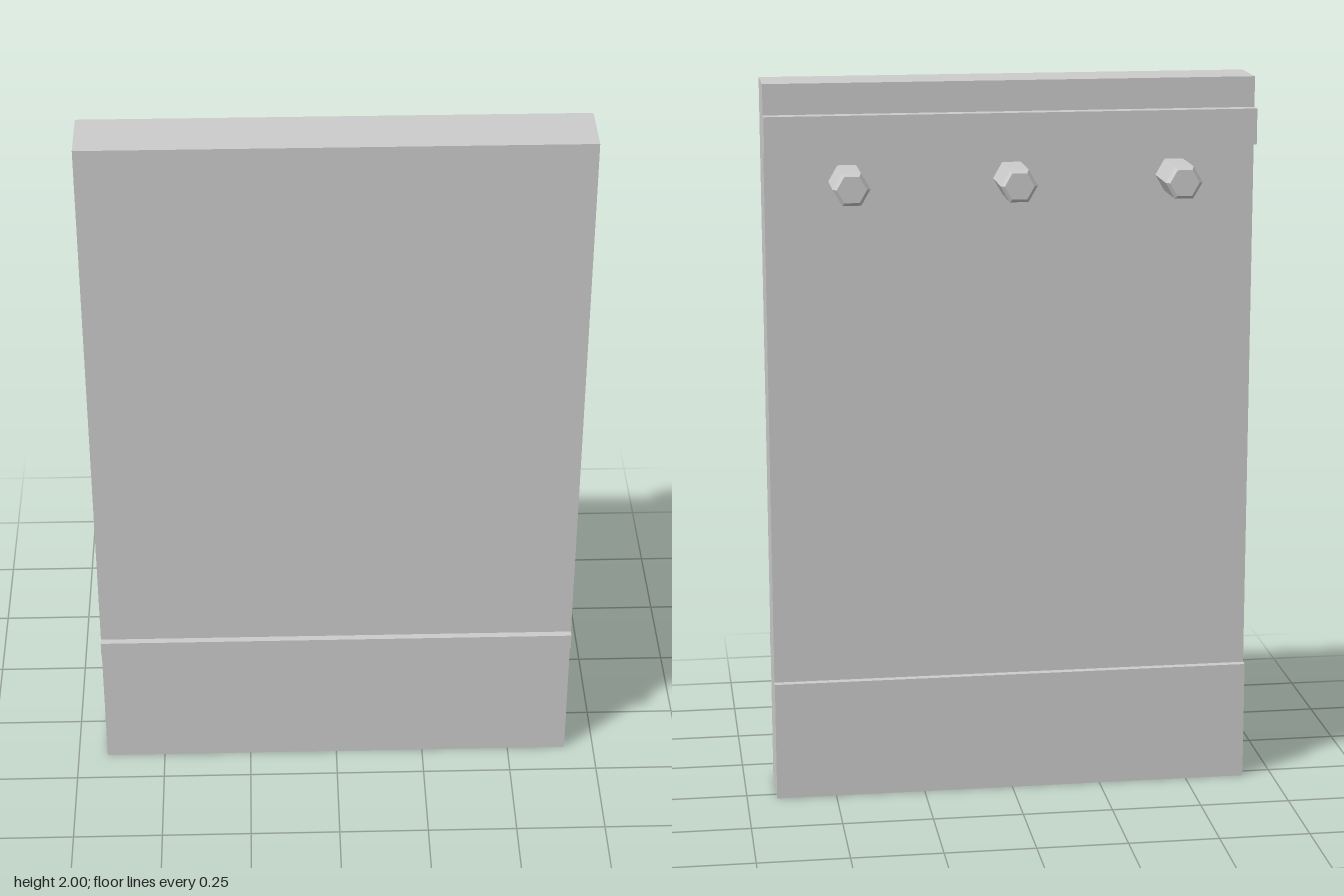
import * as THREE from 'three';

const WIDTH = 1.333;
const BACK = -0.013; // rear face of the board

export function createModel() {
  const model = new THREE.Group();
  model.name = 'pegPanel';
  const grey = new THREE.MeshStandardMaterial({ color: 0xcccccc, flatShading: true });
  grey.name = 'grey';

  // Full-width slab between two heights and two depths
  function slab(name, y0, y1, z0, z1) {
    const mesh = new THREE.Mesh(new THREE.BoxGeometry(WIDTH, y1 - y0, z1 - z0), grey);
    mesh.position.set(0, (y0 + y1) / 2, (z0 + z1) / 2);
    mesh.name = name;
    model.add(mesh);
  }

  slab('board', 0, 2, BACK, 0.153);
  slab('frontTrim', 0.385, 0.43, 0.153, 0.172);
  slab('backSkirting', 0, 0.335, -0.034, BACK);
  slab('backRail', 1.82, 1.917, -0.05, BACK);

  // Hexagonal peg with a chamfered tip, pointing backwards
  const radius = 0.05, tip = -0.172, chamfer = 0.01;
  function hexSection(rEnd, zStart, zEnd) {
    const g = new THREE.CylinderGeometry(rEnd, radius, zStart - zEnd, 6, 1, false, Math.PI / 6);
    g.rotateX(-Math.PI / 2);
    g.translate(0, 0, (zStart + zEnd) / 2);
    return new THREE.Mesh(g, grey);
  }
  for (const x of [-0.445, 0, 0.445]) {
    const peg = new THREE.Group();
    peg.name = 'peg';
    const shaft = hexSection(radius, BACK, tip + chamfer);
    shaft.name = 'pegShaft';
    const end = hexSection(radius - chamfer, tip + chamfer, tip);
    end.name = 'pegTip';
    peg.add(shaft, end);
    peg.position.set(x, 1.737, 0);
    model.add(peg);
  }
  return model;
}
